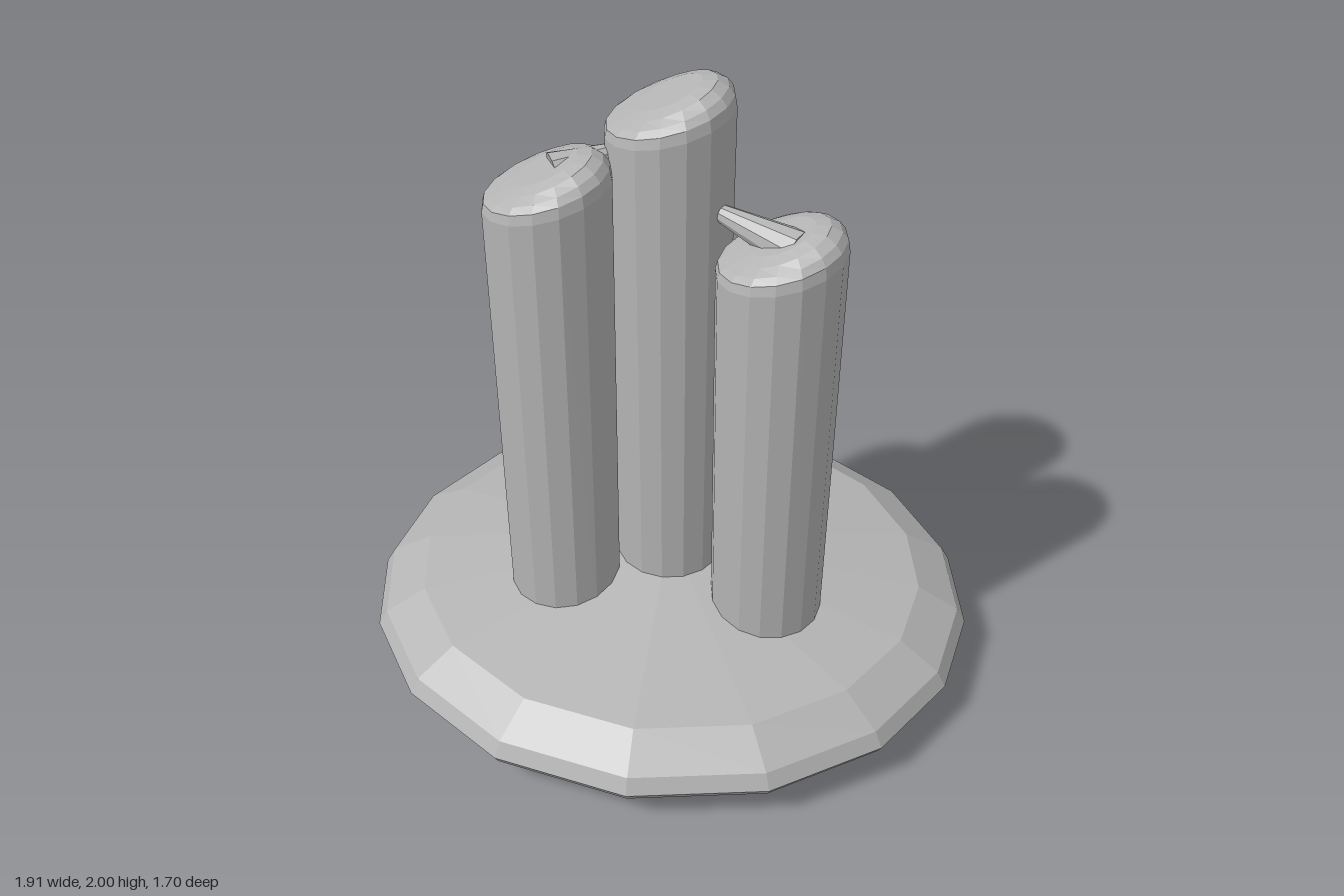
import * as THREE from 'three';

export function createModel() {
  const model = new THREE.Group();
  const grey = new THREE.MeshStandardMaterial({ color: 0xb4b4b4, flatShading: true });

  const add = (geometry, name) => {
    const mesh = new THREE.Mesh(geometry, grey);
    mesh.name = name;
    model.add(mesh);
    return mesh;
  };

  // Oval base: lathe of unit radius, stretched to an ellipse
  const baseProfile = [[0, 0], [0.92, 0.1], [0.985, 0.125], [1, 0.15], [0.97, 0.2], [0.835, 0.28], [0, 0.4]]
    .map(([r, y]) => new THREE.Vector2(r, y));
  const base = new THREE.LatheGeometry(baseProfile, 16);
  const bp = base.attributes.position;
  for (let i = 0; i < bp.count; i++) {
    const r = Math.hypot(bp.getX(i), bp.getZ(i));
    const a = Math.atan2(bp.getX(i), bp.getZ(i));
    const t = a + 0.063 * Math.sin(2 * a); // corners bunch toward the long ends
    bp.setX(i, 0.957 * r * Math.sin(t));
    bp.setZ(i, 0.85 * r * Math.cos(t));
  }
  base.computeVertexNormals();
  add(base, 'base');

  // Column with a slanted, rounded top; each ring is [radius, y below peak, slope in x]
  const rings = [[0.178, -0.115, 0.24], [0.172, -0.085, 0.28], [0.155, -0.067, 0.34],
    [0.125, -0.052, 0.43], [0.085, -0.041, 0.48], [0, -0.041, 0]];
  function column(name, x, z, top) {
    const points = [[0.17, 0.2], ...rings.map(([r, y]) => [r, top + y])]
      .map(([r, y]) => new THREE.Vector2(r, y));
    const geometry = new THREE.LatheGeometry(points, 16);
    const p = geometry.attributes.position;
    for (let i = 0; i < p.count; i++) {
      const j = i % points.length;
      if (j > 0) p.setY(i, p.getY(i) + rings[j - 1][2] * p.getX(i));
    }
    geometry.computeVertexNormals();
    add(geometry, name).position.set(x, 0, z);
  }
  column('centreColumn', 0, 0, 2);
  column('rightColumn', -0.31, 0.14, 1.83);
  column('leftColumn', 0.325, 0.165, 1.69);

  // Tapered spikes pointing from the outer columns toward the centre one
  function spike(name, from, to, rFrom, rTo) {
    const a = new THREE.Vector3(...from), b = new THREE.Vector3(...to);
    const dir = b.clone().sub(a);
    const mesh = add(new THREE.CylinderGeometry(rTo, rFrom, dir.length(), 10), name);
    mesh.position.copy(a).add(b).multiplyScalar(0.5);
    mesh.quaternion.setFromUnitVectors(new THREE.Vector3(0, 1, 0), dir.normalize());
  }
  spike('leftSpike', [0.37, 1.62, 0.19], [0.15, 1.65, 0.075], 0.06, 0.025);
  spike('rightSpike', [-0.29, 1.765, 0.13], [-0.13, 1.805, 0.045], 0.06, 0.02);

  return model;
}
